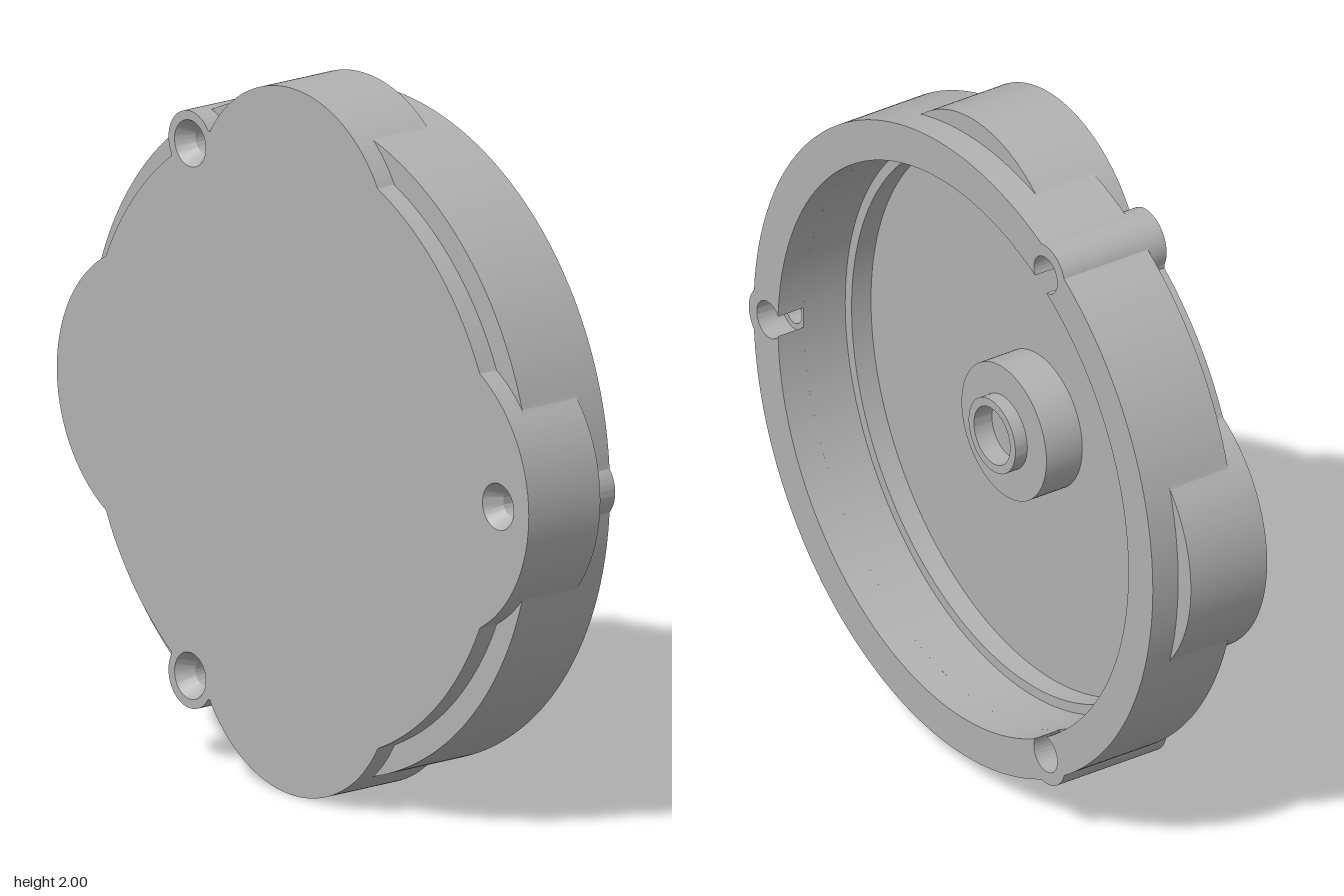
import * as THREE from 'three';
import { toCreasedNormals } from 'three/addons/utils/BufferGeometryUtils.js';

const BODY_R = 0.94, PLATE_R = 0.87, CAVITY_R = 0.825, FLOOR_R = 0.795;
const SCREW_DIST = 0.87, BOSS_R = 0.092, BORE_R = 0.055, SCREW_R = 0.037, SINK_R = 0.066;
const SCREW_ANGLES = [0, 1, 2].map(i => i * Math.PI * 2 / 3);
const LOBE_ANGLES = [0, 1, 2, 3].map(i => i * Math.PI / 2);

// far distance along a ray from the centre to a circle at (dist, angle)
function reach(theta, angle, dist, r) {
  const d = theta - angle, s = r * r - (dist * Math.sin(d)) ** 2;
  return s < 0 || Math.cos(d) < 0 ? 0 : dist * Math.cos(d) + Math.sqrt(s);
}

// round outline with screw bosses and, optionally, four lobes
function outline(radius, withLobes) {
  const pts = [], n = 960;
  for (let i = 0; i < n; i++) {
    const t = i / n * Math.PI * 2;
    let r = radius;
    for (const a of SCREW_ANGLES) r = Math.max(r, reach(t, a, SCREW_DIST, BOSS_R));
    if (withLobes) for (const a of LOBE_ANGLES) r = Math.max(r, reach(t, a, 0.585, 0.415));
    pts.push(new THREE.Vector2(r * Math.cos(t), r * Math.sin(t)));
  }
  return new THREE.Shape(pts);
}

const circle = (x, y, r) => new THREE.Path().absarc(x, y, r, 0, Math.PI * 2, false);
const screwHoles = r => SCREW_ANGLES.map(a =>
  circle(SCREW_DIST * Math.cos(a), SCREW_DIST * Math.sin(a), r));

// cavity opening whose wall is broken by the three screw bores
function boredCavity() {
  const d = Math.acos((CAVITY_R ** 2 + SCREW_DIST ** 2 - BORE_R ** 2) / (2 * CAVITY_R * SCREW_DIST));
  const e = Math.atan2(-CAVITY_R * Math.sin(d), CAVITY_R * Math.cos(d) - SCREW_DIST);
  const path = new THREE.Path();
  for (const a of SCREW_ANGLES) {
    path.absarc(SCREW_DIST * Math.cos(a), SCREW_DIST * Math.sin(a), BORE_R, a + e, a - e, false);
    path.absarc(0, 0, CAVITY_R, a + d, a + Math.PI * 2 / 3 - d, false);
  }
  return path;
}

export function createModel() {
  const model = new THREE.Group();
  model.name = 'roundCover';
  const grey = new THREE.MeshStandardMaterial({ color: 0xb2b2b2, side: THREE.DoubleSide });
  grey.name = 'grey';

  const housing = new THREE.Group();
  housing.position.y = 1;
  model.add(housing);

  function add(name, geometry) {
    const mesh = new THREE.Mesh(toCreasedNormals(geometry, 0.5), grey);
    mesh.name = name;
    housing.add(mesh);
    return mesh;
  }
  function layer(name, shape, holes, z0, z1) {
    shape.holes.push(...holes);
    const g = new THREE.ExtrudeGeometry(shape, { depth: z1 - z0, bevelEnabled: false, curveSegments: 96 });
    add(name, g.translate(0, 0, z0));
  }

  // housing from the open back to the closed front
  layer('backRim', outline(BODY_R, false), [boredCavity()], -0.17, -0.085);
  layer('lobedWall', outline(BODY_R, true), [circle(0, 0, CAVITY_R), ...screwHoles(SCREW_R)], -0.085, 0.055);
  layer('innerLedge', outline(BODY_R, true), [circle(0, 0, FLOOR_R), ...screwHoles(SCREW_R)], 0.055, 0.11);
  layer('plateStep', outline(PLATE_R, true), [circle(0, 0, FLOOR_R), ...screwHoles(SCREW_R)], 0.11, 0.12);
  layer('frontPlate', outline(PLATE_R, true), screwHoles(SINK_R), 0.12, 0.17);

  // countersinks for the screws
  for (const a of SCREW_ANGLES) {
    const cone = new THREE.CylinderGeometry(SINK_R, SCREW_R, 0.05, 48, 1, true);
    cone.rotateX(Math.PI / 2);
    cone.translate(SCREW_DIST * Math.cos(a), SCREW_DIST * Math.sin(a), 0.145);
    add('countersink', cone);
  }

  // stepped hub with a blind hole on the inner floor
  const profile = [[0, 0.02], [0.085, 0.02], [0.085, -0.04], [0.11, -0.04], [0.11, 0], [0.2, 0], [0.2, 0.12]];
  const hub = new THREE.LatheGeometry(profile.map(p => new THREE.Vector2(...p)), 72);
  add('innerHub', hub.rotateX(Math.PI / 2));

  return model;
}
